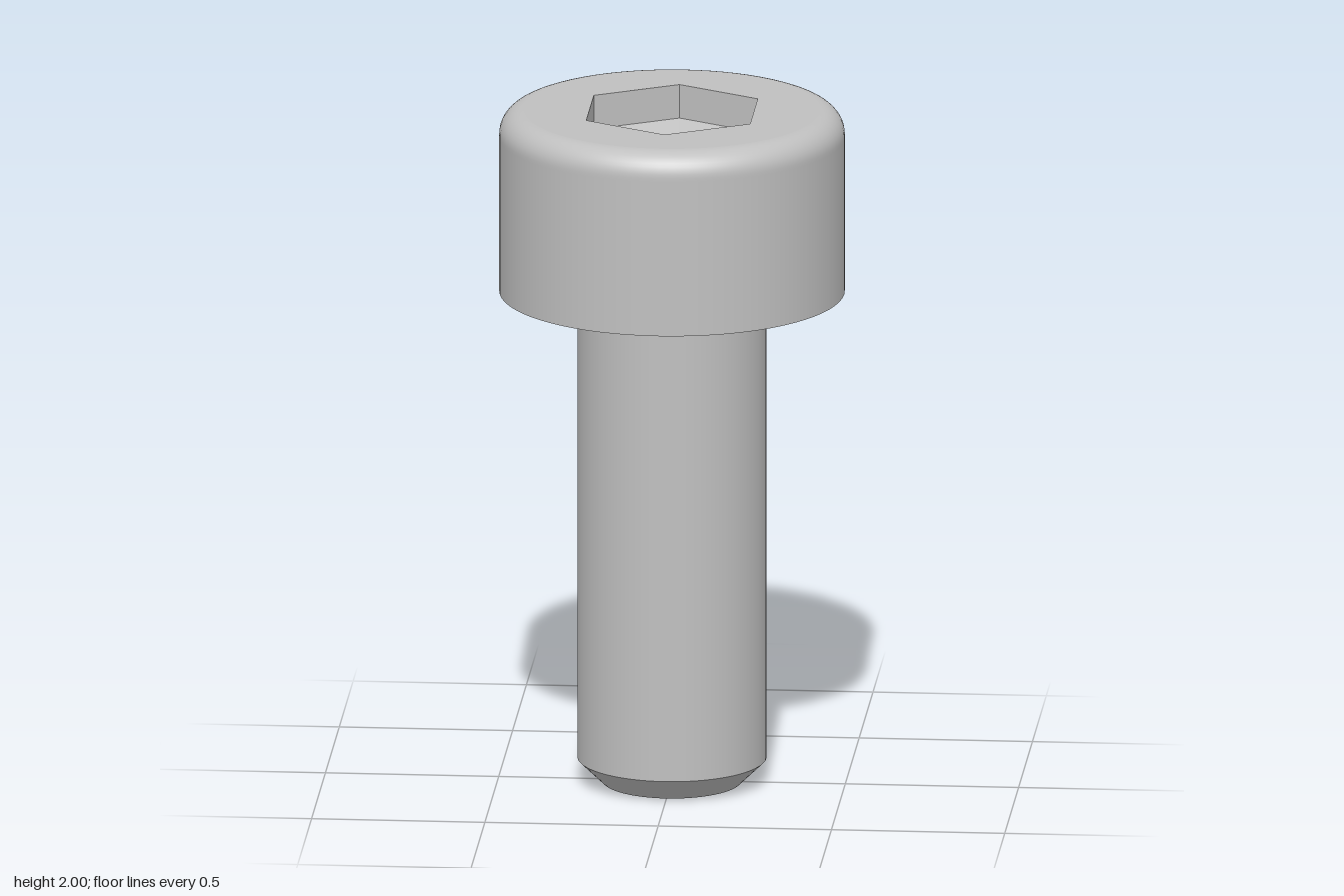
import * as THREE from 'three';

const SEGMENTS = 72;
const HEX_RADIUS = 0.273;
const WALL_DEPTH = 0.1;
const CONE_DEPTH = 0.14;

// Points along a quarter arc from angle a to angle b
function arc(cx, cy, r, a, b, steps) {
  return Array.from({ length: steps + 1 }, (_, i) => {
    const t = a + ((b - a) * i) / steps;
    return [cx + r * Math.cos(t), cy + r * Math.sin(t)];
  });
}

function revolve(points) {
  return new THREE.LatheGeometry(points.map(([x, y]) => new THREE.Vector2(x, y)), SEGMENTS);
}

// Six-sided surface turned inside out, with flat faces
function hexInside(bottomRadius, height, topY) {
  const g = new THREE.CylinderGeometry(HEX_RADIUS, bottomRadius, height, 6, 1, true).toNonIndexed();
  g.scale(-1, 1, 1);
  g.translate(0, topY - height / 2, 0);
  g.computeVertexNormals();
  return g;
}

export function createModel() {
  const model = new THREE.Group();
  model.name = 'socketHeadScrew';
  const steel = new THREE.MeshStandardMaterial({ color: 0xc0c0c0 });
  steel.name = 'steel';

  const add = (name, geometry, parent) => {
    const mesh = new THREE.Mesh(geometry, steel);
    mesh.name = name;
    parent.add(mesh);
  };
  const part = (name) => {
    const group = new THREE.Group();
    group.name = name;
    model.add(group);
    return group;
  };

  // Shank: flat tip, chamfer, then plain cylinder ending in a small fillet
  const shank = part('shank');
  add('tip', revolve([[0, 0], [0.2, 0]]), shank);
  add('tipChamfer', revolve([[0.2, 0], [0.272, 0.07]]), shank);
  add('shaft', revolve([[0.272, 0.07], [0.272, 1.44], ...arc(0.288, 1.444, 0.016, Math.PI, Math.PI / 2, 5)]), shank);

  // Head: flat underside, straight side and rounded top edge
  const head = part('head');
  add('underside', revolve([[0.288, 1.46], [0.497, 1.46]]), head);
  add('side', revolve([[0.497, 1.46], [0.497, 1.92], ...arc(0.427, 1.93, 0.07, 0, Math.PI / 2, 10)]), head);

  // Top face with a hexagonal opening
  const face = new THREE.Shape().absarc(0, 0, 0.427, 0, Math.PI * 2);
  const corners = Array.from({ length: 6 }, (_, i) => {
    const a = (i * Math.PI) / 3;
    return new THREE.Vector2(HEX_RADIUS * Math.sin(a), HEX_RADIUS * Math.cos(a));
  });
  face.holes.push(new THREE.Path(corners));
  const faceGeometry = new THREE.ShapeGeometry(face, SEGMENTS);
  faceGeometry.rotateX(-Math.PI / 2);
  faceGeometry.translate(0, 2, 0);
  add('topFace', faceGeometry, head);

  // Hexagonal socket with a pointed floor
  const socket = part('socket');
  add('socketWalls', hexInside(HEX_RADIUS, WALL_DEPTH, 2), socket);
  add('socketFloor', hexInside(0, CONE_DEPTH, 2 - WALL_DEPTH), socket);

  return model;
}
